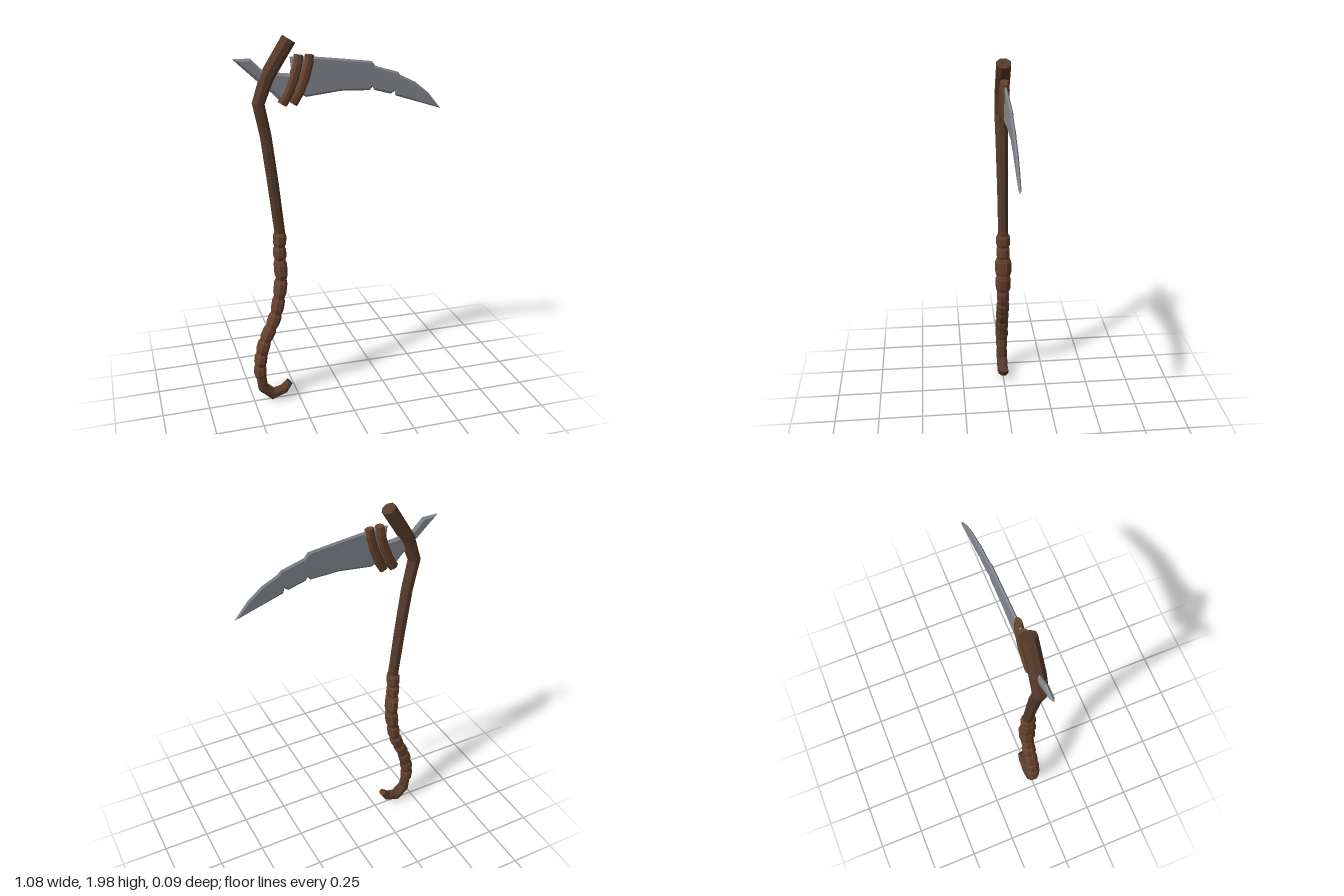
import * as THREE from 'three';

const mat = (color) => new THREE.MeshStandardMaterial({ color, flatShading: true });
const wood = mat(0x573b2a), leather = mat(0x68432f), steel = mat(0x868a91);

// Capped loft along a path in the xy plane; each ring is [x, y, half width, half depth].
function loft(name, rings, material, sides = 8) {
  const pos = [], index = [], n = rings.length;
  const dir = (a, b) => new THREE.Vector2(b[0] - a[0], b[1] - a[1]).normalize();
  rings.forEach((r, i) => {
    const d0 = dir(rings[Math.max(i - 1, 0)], rings[Math.max(i, 1)]);
    const d1 = dir(rings[Math.min(i, n - 2)], rings[Math.min(i + 1, n - 1)]);
    const t = d0.clone().add(d1).normalize();
    const k = 1 / Math.cos(Math.PI / sides);
    const w = (r[2] * k) / Math.max(t.dot(d0), 0.7);
    for (let j = 0; j < sides; j++) {
      const a = ((j + 0.5) / sides) * Math.PI * 2;
      const c = Math.cos(a) * w;
      pos.push(r[0] - t.y * c, r[1] + t.x * c, Math.sin(a) * r[3] * k);
    }
  });
  for (let i = 0; i < n - 1; i++) {
    for (let j = 0; j < sides; j++) {
      const a = i * sides + j, b = i * sides + ((j + 1) % sides);
      index.push(a, b, b + sides, a, b + sides, a + sides);
    }
  }
  const last = (n - 1) * sides;
  for (let j = 1; j < sides - 1; j++) {
    index.push(0, j + 1, j, last, last + j, last + j + 1);
  }
  const g = new THREE.BufferGeometry();
  g.setAttribute('position', new THREE.Float32BufferAttribute(pos, 3));
  g.setIndex(index);
  const flat = g.toNonIndexed();
  flat.computeVertexNormals();
  const mesh = new THREE.Mesh(flat, material);
  mesh.name = name;
  return mesh;
}

// Flat steel plate whose rim is ground to a thin edge.
function plate(name, points, bevel, half) {
  const shape = new THREE.Shape(points.map(([x, y]) => new THREE.Vector2(x, y)));
  const g = new THREE.ExtrudeGeometry(shape, {
    depth: 0.002, bevelEnabled: true, bevelSegments: 1,
    bevelSize: bevel, bevelOffset: -bevel, bevelThickness: half - 0.001,
  });
  g.translate(0, 0, -0.001);
  const mesh = new THREE.Mesh(g, steel);
  mesh.name = name;
  return mesh;
}

export function createModel() {
  const model = new THREE.Group();
  model.name = 'scythe';

  // Bent wooden shaft, from the crooked top down to the grip
  model.add(loft('shaft', [
    [-0.263, 1.97, 0.034, 0.037], [-0.375, 1.795, 0.033, 0.037], [-0.422, 1.665, 0.028, 0.036],
    [-0.39, 1.5, 0.027, 0.033], [-0.36, 1.25, 0.027, 0.029], [-0.332, 0.98, 0.026, 0.027],
  ], wood));

  // Core under the grip, ending in a hook
  model.add(loft('hook', [
    [-0.333, 0.98, 0.022, 0.026], [-0.335, 0.7, 0.022, 0.03], [-0.365, 0.5, 0.022, 0.028],
    [-0.43, 0.35, 0.022, 0.028], [-0.463, 0.2, 0.025, 0.029], [-0.45, 0.085, 0.026, 0.032],
    [-0.395, 0.033, 0.026, 0.032], [-0.333, 0.053, 0.023, 0.03], [-0.3, 0.093, 0.017, 0.025],
  ], wood));

  // Leather wraps of the grip: one bulging bead between neighbouring joints
  const joints = [
    [-0.332, 0.985], [-0.337, 0.91], [-0.335, 0.835], [-0.331, 0.725], [-0.345, 0.62],
    [-0.363, 0.525], [-0.392, 0.45], [-0.43, 0.372], [-0.452, 0.295], [-0.463, 0.225], [-0.463, 0.15],
  ];
  const depths = [0.039, 0.037, 0.046, 0.043, 0.034, 0.037, 0.036, 0.037, 0.037, 0.034];
  const grip = new THREE.Group();
  grip.name = 'grip';
  depths.forEach((d, i) => {
    const [x0, y0] = joints[i], [x1, y1] = joints[i + 1];
    const w = 0.032;
    grip.add(loft('gripWrap', [[0, 0.8], [0.22, 1], [0.75, 1], [1, 0.82]].map(([t, s]) =>
      [x0 + (x1 - x0) * t, y0 + (y1 - y0) * t, w * s, d * s]), leather));
  });
  model.add(grip);

  // Curved, nicked blade
  model.add(plate('blade', [
    [-0.26, 1.885], [-0.18, 1.885], [0.0, 1.865], [0.16, 1.845], [0.18, 1.82], [0.3, 1.785],
    [0.315, 1.768], [0.395, 1.73], [0.47, 1.67], [0.54, 1.585],
    [0.29, 1.665], [0.285, 1.69], [0.265, 1.675], [0.175, 1.7], [0.165, 1.717], [0.15, 1.7],
    [0.0, 1.705], [-0.18, 1.685], [-0.21, 1.7], [-0.28, 1.68], [-0.25, 1.78],
  ], 0.01, 0.007));

  // Tang passing through the shaft, with a spur behind it
  model.add(plate('tang', [
    [-0.54, 1.885], [-0.455, 1.885], [-0.4, 1.83], [-0.31, 1.81], [-0.22, 1.8],
    [-0.24, 1.68], [-0.32, 1.68], [-0.37, 1.73], [-0.43, 1.78],
  ], 0.014, 0.011));

  // Two straps binding the blade to the tang
  const strap = (dx, d, bottom) => loft('strap', [
    [-0.216 + dx, 1.892, 0.021, d * 0.8], [-0.221 + dx, 1.85, 0.023, d],
    [-0.24 + dx, 1.785, 0.024, d], [-0.268 + dx, 1.715, 0.024, d],
    [bottom, 1.655, 0.024, d * 0.8],
  ], leather, 8);
  model.add(strap(0, 0.026, -0.303), strap(0.055, 0.019, -0.25));

  return model;
}
